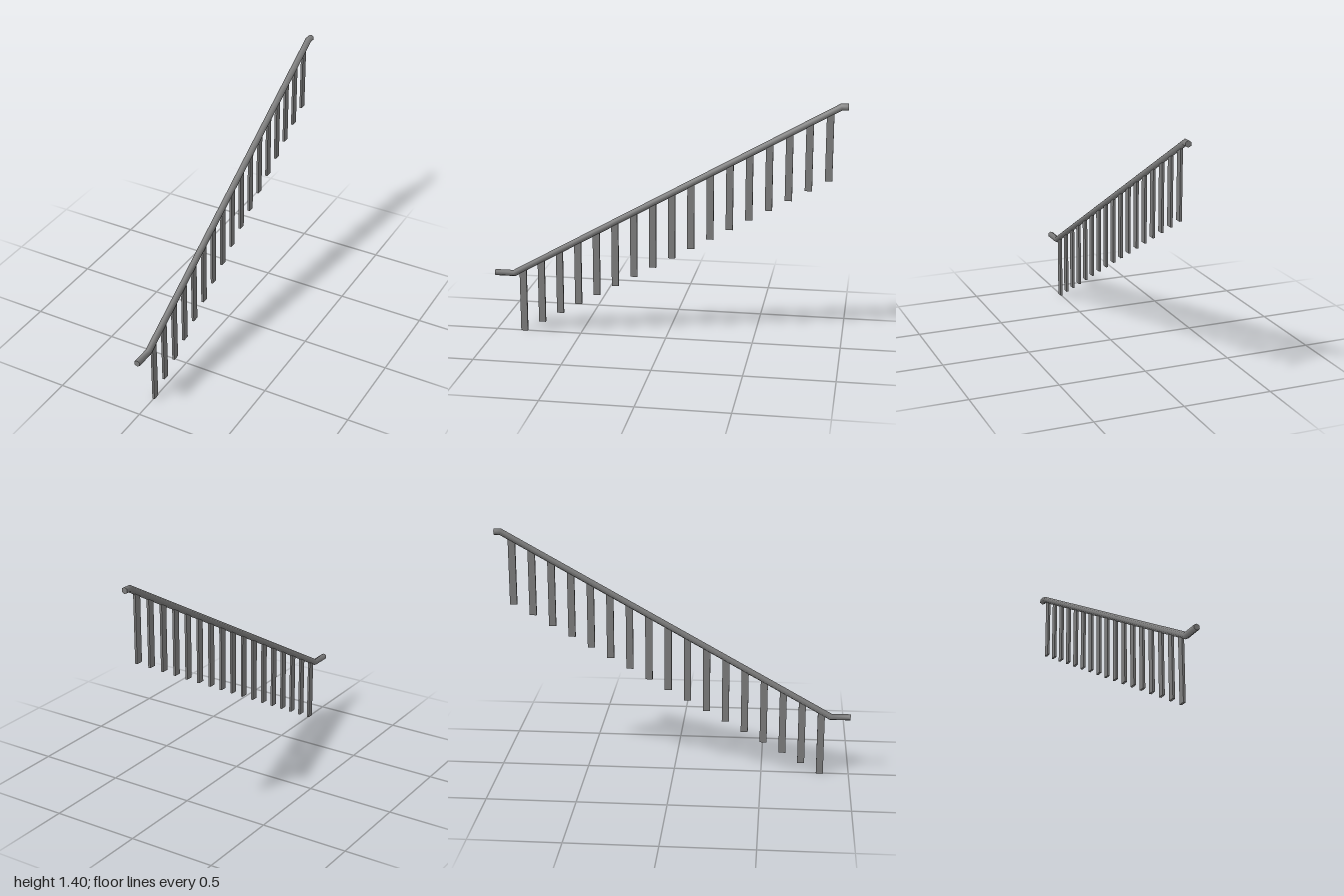
import * as THREE from 'three';

const SIDES = 6, RADIUS = 0.0185;
// Handrail centreline as [z, y], from the low front end to the high back end
const PATH = [[1, 0.348], [0.888, 0.348], [-0.963, 1.386], [-1, 1.386]];

// Hexagonal bar swept along the centreline with mitred bends and smooth sides
function railGeometry() {
  const pts = PATH.map(([z, y]) => new THREE.Vector3(0, y, z));
  const rings = pts.map((p, i) => {
    const before = pts[Math.max(i - 1, 0)], after = pts[Math.min(i + 1, pts.length - 1)];
    const a = p.clone().sub(before).normalize(), b = after.clone().sub(p).normalize();
    const dir = a.clone().add(b).normalize();
    const mitre = 1 / Math.max(dir.dot(a), dir.dot(b));
    const up = new THREE.Vector3(0, -dir.z, dir.y).multiplyScalar(mitre);
    return Array.from({ length: SIDES }, (_, k) => {
      const t = (k / SIDES) * Math.PI * 2;
      return p.clone().addScaledVector(up, RADIUS * Math.cos(t))
        .add(new THREE.Vector3(RADIUS * Math.sin(t), 0, 0));
    });
  });
  // The end rings are repeated so that the caps stay flat
  const last = rings.length - 1, front = rings.length * SIDES, back = front + SIDES;
  const vertices = [...rings, rings[0], rings[last]].flat();
  const index = [];
  for (let i = 0; i < last; i++) {
    for (let k = 0; k < SIDES; k++) {
      const n = (k + 1) % SIDES, a = i * SIDES, b = a + SIDES;
      index.push(a + k, a + n, b + n, a + k, b + n, b + k);
    }
  }
  for (let k = 1; k < SIDES - 1; k++) {
    index.push(front, front + k + 1, front + k, back, back + k, back + k + 1);
  }
  const g = new THREE.BufferGeometry().setFromPoints(vertices);
  g.setIndex(index);
  g.computeVertexNormals();
  return g;
}

export function createModel() {
  const model = new THREE.Group();
  model.name = 'stairRailing';
  const material = new THREE.MeshStandardMaterial({ color: 0x7d7d7d });

  const rail = new THREE.Mesh(railGeometry(), material);
  rail.name = 'handrail';
  model.add(rail);

  // Flat upright bars, each one step higher than the one before
  const COUNT = 17, HEIGHT = 0.376;
  const bar = new THREE.BoxGeometry(0.013, HEIGHT, 0.04);
  const balusters = new THREE.Group();
  balusters.name = 'balusters';
  for (let i = 0; i < COUNT; i++) {
    const t = i / (COUNT - 1);
    const m = new THREE.Mesh(bar, material);
    m.name = `baluster${i + 1}`;
    m.position.set(0, HEIGHT / 2 + 0.971 * t, THREE.MathUtils.lerp(0.835, -0.904, t));
    balusters.add(m);
  }
  model.add(balusters);
  return model;
}
